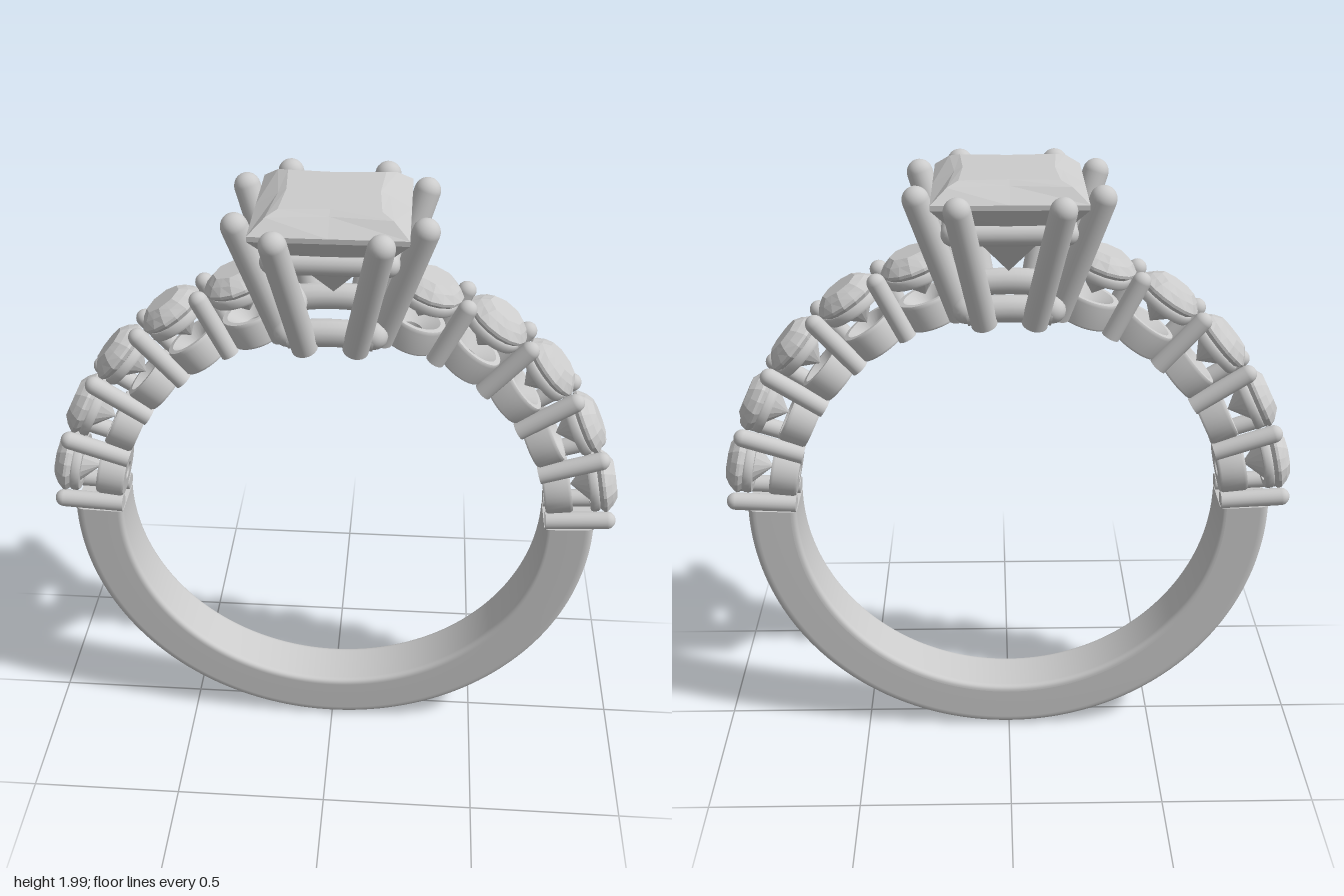
import * as THREE from 'three';
import { mergeGeometries } from 'three/addons/utils/BufferGeometryUtils.js';

const CENTER_Y = 0.865;
const metal = new THREE.MeshStandardMaterial({ color: 0xcccccc });
const gem = new THREE.MeshStandardMaterial({ color: 0xcccccc, flatShading: true });
const rad = THREE.MathUtils.degToRad;

function add(parent, geometry, name, material = metal) {
  const mesh = new THREE.Mesh(geometry, material);
  mesh.name = name;
  parent.add(mesh);
  return mesh;
}

// Faceted stone: sections run top to bottom as [y, even radius, odd radius]
function facetedStone(sections, n, startAngle) {
  const pos = [], index = [];
  for (const [y, even, odd] of sections) {
    for (let i = 0; i < n; i++) {
      const a = startAngle + (i / n) * Math.PI * 2, r = i % 2 ? odd : even;
      pos.push(r * Math.cos(a), y, -r * Math.sin(a));
    }
  }
  for (let s = 0; s < sections.length - 1; s++) {
    for (let i = 0; i < n; i++) {
      const j = (i + 1) % n, t = s * n, b = t + n;
      index.push(t + i, b + i, b + j, t + i, b + j, t + j);
    }
  }
  const g = new THREE.BufferGeometry();
  g.setAttribute('position', new THREE.Float32BufferAttribute(pos, 3));
  g.setIndex(index);
  g.computeVertexNormals();
  return g;
}

// Round rod from a to b with a flat foot and a domed tip
function prongGeometry(a, b, r) {
  const dir = b.clone().sub(a), len = dir.length();
  const g = mergeGeometries([
    new THREE.CylinderGeometry(r, r, len, 20).translate(0, len / 2, 0),
    new THREE.SphereGeometry(r, 20, 12).translate(0, len, 0),
  ]);
  g.applyQuaternion(new THREE.Quaternion().setFromUnitVectors(new THREE.Vector3(0, 1, 0), dir.normalize()));
  return g.translate(a.x, a.y, a.z);
}

// Plain lower half of the band: a rounded section swept about the ring axis
function addBand(parent) {
  const r0 = 0.695, r1 = 0.855, w = 0.09, ci = 0.02, co = 0.03;
  const s = new THREE.Shape();
  s.moveTo(r0 + ci, -w);
  s.lineTo(r1 - co, -w);
  s.quadraticCurveTo(r1, -w, r1, -w + co);
  s.quadraticCurveTo(r1 + 0.008, 0, r1, w - co);
  s.quadraticCurveTo(r1, w, r1 - co, w);
  s.lineTo(r0 + ci, w);
  s.quadraticCurveTo(r0, w, r0, w - ci);
  s.lineTo(r0, -w + ci);
  s.quadraticCurveTo(r0, -w, r0 + ci, -w);
  const half = rad(92);
  const g = new THREE.LatheGeometry(s.getPoints(6), 96, -half, half * 2).rotateX(Math.PI / 2);
  add(parent, g, 'band').position.y = CENTER_Y;
  const capMaterial = metal.clone();
  capMaterial.side = THREE.DoubleSide;
  for (const side of [-1, 1]) {
    const cap = add(parent, new THREE.ShapeGeometry(s, 6).rotateX(Math.PI / 2), 'bandEnd', capMaterial);
    cap.position.y = CENTER_Y;
    cap.rotation.z = side > 0 ? rad(2) : Math.PI - rad(2);
  }
}

// Five round side stones with pierced cups and shared prong pairs on each shoulder
function addShoulders(parent) {
  const stoneGeo = facetedStone([
    [0.93, 0, 0], [0.93, 0.062, 0.057], [0.914, 0.086, 0.082],
    [0.893, 0.105, 0.104], [0.884, 0.105, 0.104], [0.785, 0, 0],
  ], 16, 0);
  const v2 = (x, y) => new THREE.Vector2(x, y);
  const cupGeo = new THREE.LatheGeometry([
    v2(0.03, 0.697), v2(0.03, 0.697), v2(0.084, 0.697), v2(0.084, 0.697), v2(0.09, 0.705),
    v2(0.093, 0.775), v2(0.088, 0.785), v2(0.088, 0.785), v2(0.072, 0.785), v2(0.072, 0.785),
    v2(0.03, 0.745), v2(0.03, 0.745), v2(0.03, 0.697),
  ], 32);
  const seatGeo = new THREE.LatheGeometry([
    v2(0.07, 0.842), v2(0.094, 0.842), v2(0.094, 0.842), v2(0.099, 0.85), v2(0.099, 0.866),
    v2(0.094, 0.872), v2(0.094, 0.872), v2(0.085, 0.872), v2(0.07, 0.842),
  ], 32);
  for (const side of [-1, 1]) {
    const shoulder = new THREE.Group();
    shoulder.name = side > 0 ? 'leftShoulder' : 'rightShoulder';
    shoulder.position.y = CENTER_Y;
    parent.add(shoulder);
    for (let i = 0; i < 5; i++) {
      const prongs = new THREE.Group();
      prongs.name = 'prongPair';
      prongs.rotation.z = -side * rad(86.5 - 15 * i);
      for (const z of [-0.063, 0.063]) {
        add(prongs, prongGeometry(new THREE.Vector3(0, 0.697, z), new THREE.Vector3(0, 0.895, z), 0.029), 'sideProng');
      }
      const setting = new THREE.Group();
      setting.name = 'sideSetting';
      setting.rotation.z = -side * rad(79 - 15 * i);
      add(setting, cupGeo, 'cup');
      add(setting, seatGeo, 'stoneSeat');
      add(setting, stoneGeo, 'sideStone', gem);
      shoulder.add(prongs, setting);
    }
  }
}

// Central head: square stone, eight splayed prongs, gallery rail and base frame
function addHead(parent) {
  const head = new THREE.Group();
  head.name = 'head';
  parent.add(head);
  const q = Math.SQRT2;
  add(head, facetedStone([
    [2.0, 0, 0], [2.0, 0.145 * q, 0.135], [1.988, 0.178 * q, 0.16], [1.95, 0.225 * q, 0.225],
    [1.935, 0.225 * q, 0.225], [1.88, 0.18 * q, 0.185], [1.8, 0.09 * q, 0.1], [1.68, 0, 0],
  ], 8, Math.PI / 4), 'centreStone', gem);

  for (const sx of [-1, 1]) for (const sz of [-1, 1]) for (const swap of [false, true]) {
    const at = (u, y, v) => new THREE.Vector3(sx * (swap ? v : u), y, sz * (swap ? u : v));
    add(head, prongGeometry(at(0.145, 1.565, 0.075), at(0.268, 1.945, 0.148), 0.04), 'mainProng');
  }

  const rail = new THREE.CapsuleGeometry(0.034, 0.33, 6, 16).rotateZ(Math.PI / 2);
  for (let i = 0; i < 4; i++) {
    const side = new THREE.Group();
    side.name = 'gallerySide';
    side.rotation.y = i * Math.PI / 2;
    head.add(side);
    add(side, rail, 'galleryRail').position.set(0, 1.848, 0.165);
  }

  // Base frame: bars across the finger follow the ring's curve
  const point = (deg, z) => new THREE.Vector3(0.74 * Math.sin(rad(deg)), CENTER_Y + 0.74 * Math.cos(rad(deg)), z);
  for (const s of [-1, 1]) {
    const arc = new THREE.CatmullRomCurve3([-10, -5, 0, 5, 10].map((d) => point(d, s * 0.12)));
    add(head, new THREE.TubeGeometry(arc, 16, 0.042, 14), 'baseArc');
    const bar = add(head, new THREE.CapsuleGeometry(0.042, 0.24, 6, 16).rotateX(Math.PI / 2), 'baseBar');
    bar.position.set(s * 0.128, 1.6, 0);
  }
}

export function createModel() {
  const ring = new THREE.Group();
  ring.name = 'ring';
  addBand(ring);
  addShoulders(ring);
  addHead(ring);
  return ring;
}
